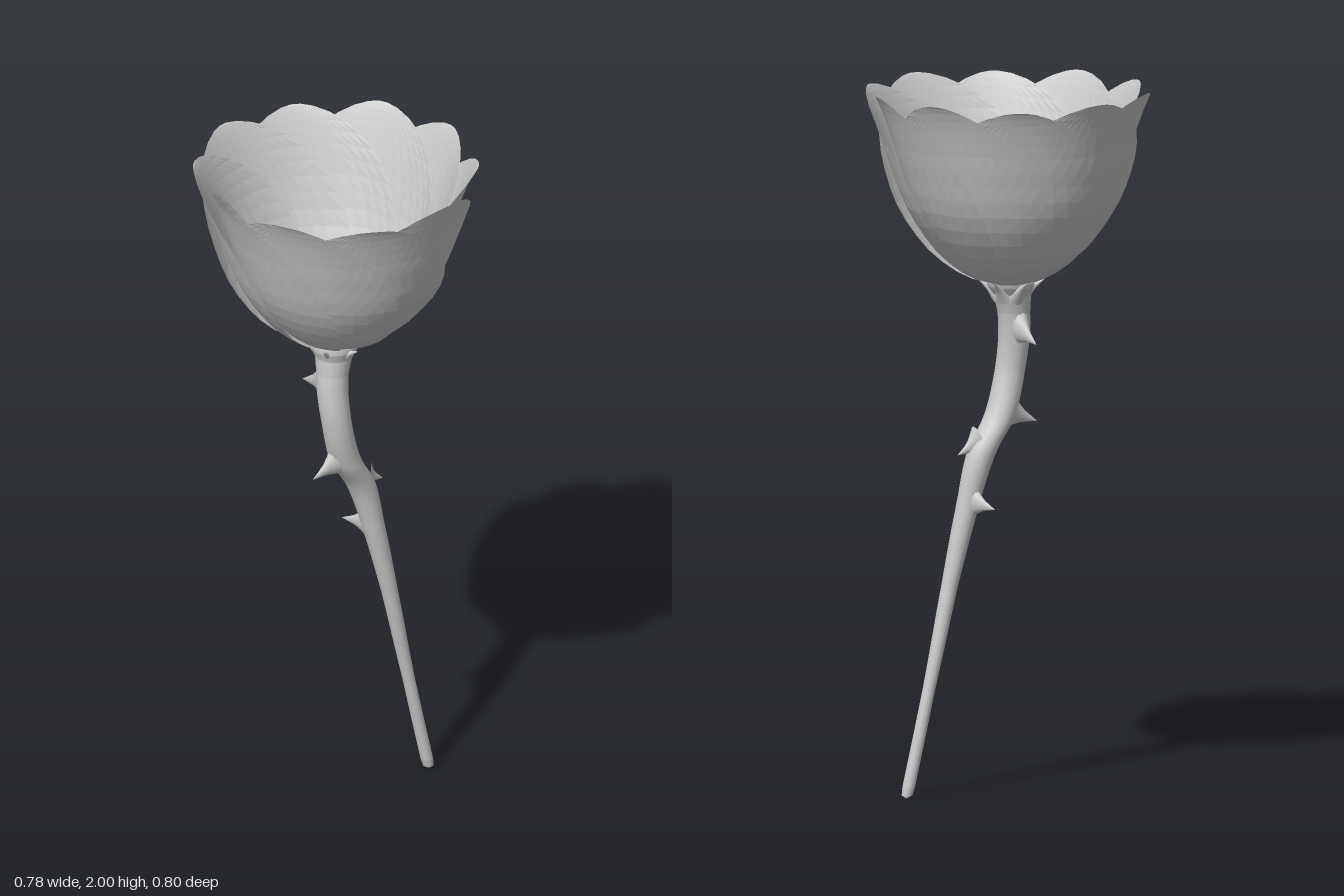
import * as THREE from 'three';
import { ParametricGeometry } from 'three/addons/geometries/ParametricGeometry.js';

const grey = new THREE.MeshStandardMaterial({ color: 0xcccccc });
const petalGrey = new THREE.MeshStandardMaterial({ color: 0xcccccc, flatShading: true, side: THREE.DoubleSide });
const rad = THREE.MathUtils.degToRad;

// Linear lookup of y -> value in a short list of [y, value] pairs
function lookup(pairs, y) {
  for (let i = 1; i < pairs.length; i++) {
    const [y0, a] = pairs[i - 1], [y1, b] = pairs[i];
    if (y <= y1) return a + (b - a) * (y - y0) / (y1 - y0);
  }
  return pairs[pairs.length - 1][1];
}

function addGroup(parent, name) {
  const group = new THREE.Group();
  group.name = name;
  parent.add(group);
  return group;
}

function addMesh(parent, name, geometry, material) {
  const mesh = new THREE.Mesh(geometry, material);
  mesh.name = name;
  parent.add(mesh);
  return mesh;
}

// Stem: horizontal rings along a bent centre line
function stemGeometry() {
  const path = new THREE.CatmullRomCurve3([
    [0.042, 0, -0.30], [0.038, 0.2, -0.255], [0.036, 0.4, -0.21], [0.036, 0.6, -0.165],
    [0.03, 0.8, -0.118], [0.022, 0.97, -0.072], [0.028, 1.07, -0.012], [0.035, 1.2, 0.025],
    [0.025, 1.32, 0.033], [0.012, 1.46, 0.014],
  ].map(p => new THREE.Vector3(...p)));
  const radius = [[0, 0.002], [0.008, 0.015], [0.03, 0.018], [0.3, 0.018], [0.6, 0.024], [0.85, 0.034],
    [0.97, 0.042], [1.05, 0.045], [1.2, 0.043], [1.36, 0.046], [1.41, 0.053], [1.44, 0.068],
    [1.452, 0.07], [1.46, 0.002]];
  return new ParametricGeometry((u, v, target) => {
    path.getPoint(v, target);
    const r = lookup(radius, target.y), a = u * Math.PI * 2;
    target.x += r * Math.cos(a);
    target.z -= r * Math.sin(a);
  }, 16, 200);
}

// Thorn: concave spike from a base point to a tip, narrower sideways than it is tall
function addThorn(parent, name, base, tip, width, squash) {
  const from = new THREE.Vector3(...base);
  const dir = new THREE.Vector3(...tip).sub(from);
  const length = dir.length();
  const profile = [[1, 0], [0.7, 0.2], [0.45, 0.38], [0.25, 0.58], [0.12, 0.8], [0, 1]]
    .map(([r, h]) => new THREE.Vector2(r * width, h * length));
  const thorn = addMesh(parent, name, new THREE.LatheGeometry(profile, 12).scale(squash, 1, 1), grey);
  dir.normalize();
  const side = new THREE.Vector3().crossVectors(dir, new THREE.Vector3(0, 1, 0)).normalize();
  const up = new THREE.Vector3().crossVectors(side, dir);
  thorn.quaternion.setFromRotationMatrix(new THREE.Matrix4().makeBasis(side, dir, up));
  thorn.position.copy(from);
}

// Petal: rounded patch of the cup, running inwards from its outer side edge to its inner one
function petalGeometry(centre, height) {
  const cup = [[1.445, 0.035], [1.455, 0.08], [1.47, 0.12], [1.5, 0.172], [1.55, 0.228], [1.6, 0.269],
    [1.65, 0.301], [1.7, 0.325], [1.8, 0.356], [1.9, 0.38], [2, 0.402]];
  return new ParametricGeometry((u, v, target) => {
    const t = v * v * (3 - 2 * v);
    const width = Math.pow(Math.max(0, 1 - t * t), 0.65);
    const outer = -2 - 58 * width, inner = 2 + 68 * width;
    const across = u * (inner - outer);
    const y = 1.445 + height * t;
    const r = lookup(cup, y) * (1 - 0.135 * across / 60);
    const a = rad(centre + outer + across);
    target.set(r * Math.cos(a), y, r * Math.sin(a));
  }, 14, 18);
}

export function createModel() {
  const flower = new THREE.Group();
  flower.name = 'flower';

  addMesh(flower, 'stem', stemGeometry(), grey);

  // Thorns
  const thorns = addGroup(flower, 'thorns');
  addThorn(thorns, 'upperThorn', [0.015, 1.325, 0.033], [-0.11, 1.285, 0.033], 0.07, 0.55);
  addThorn(thorns, 'frontThorn', [0.03, 1.085, 0], [0.03, 1.045, 0.108], 0.07, 0.55);
  addThorn(thorns, 'backThorn', [0.025, 1.0, -0.075], [0.025, 0.965, -0.148], 0.05, 0.6);
  addThorn(thorns, 'lowerThorn', [0.028, 0.835, -0.108], [-0.075, 0.82, -0.08], 0.06, 0.5);

  // Sepals: short spikes around the top of the stem
  const sepals = addGroup(flower, 'sepals');
  for (let i = 0; i < 6; i++) {
    const c = Math.cos(i * Math.PI / 3), s = Math.sin(i * Math.PI / 3);
    addThorn(sepals, 'sepal', [0.012 + 0.03 * c, 1.415, 0.014 + 0.03 * s],
      [0.012 + 0.105 * c, 1.46, 0.014 + 0.095 * s], 0.03, 1);
  }

  // Ten overlapping petals spiralling round the cup
  const petals = addGroup(flower, 'petals');
  for (let i = 0; i < 10; i++) {
    addMesh(petals, 'petal', petalGeometry(130 + i * 36, i % 5 === 2 ? 0.545 : 0.555), petalGrey);
  }
  return flower;
}
